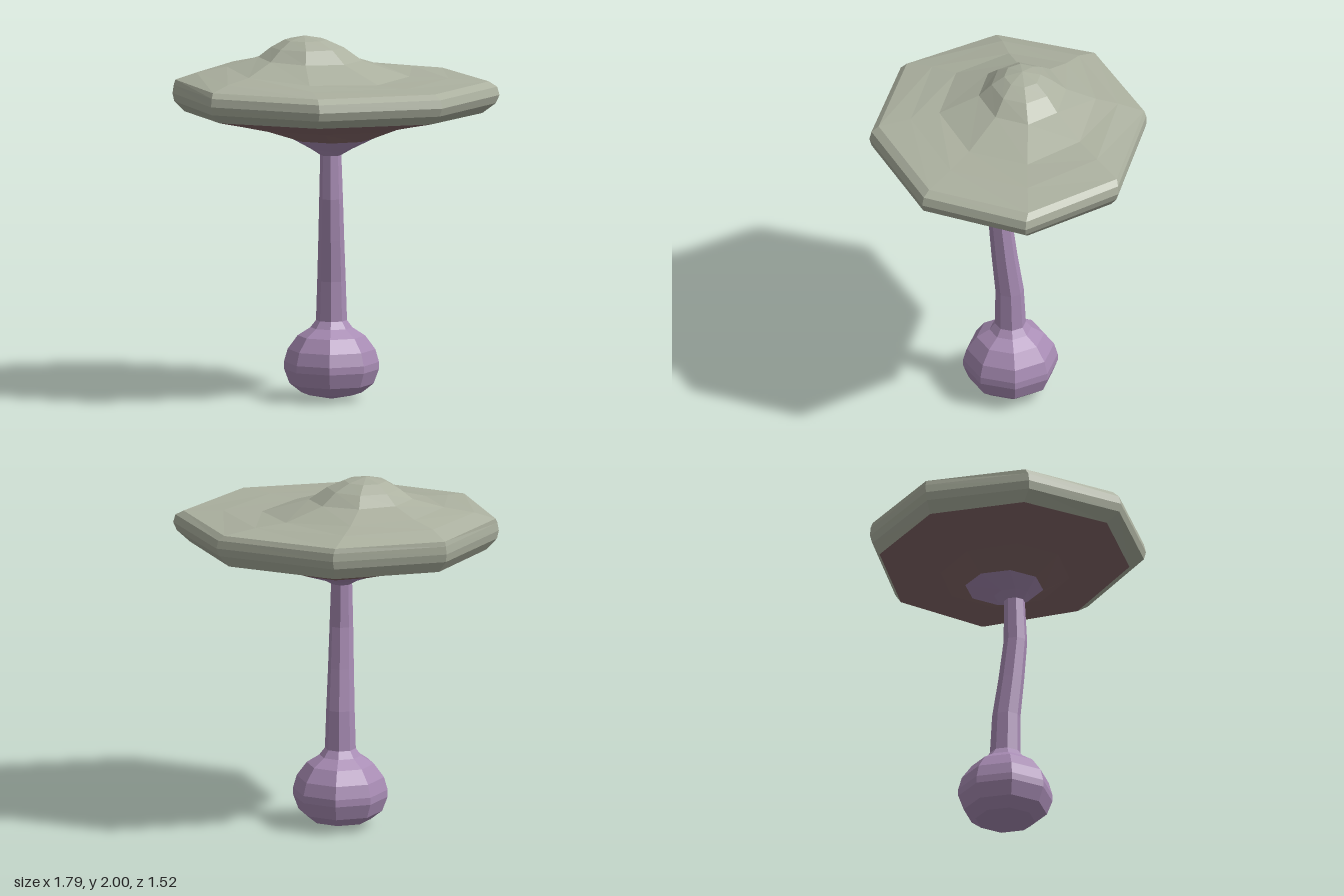
import * as THREE from 'three';

const SIDES = 8;

// Skin a stack of eight-sided rings listed bottom to top.
// Ring: [y, centreX, centreZ, radiusX, radiusZ, rise per x, rise per z, x skew of front and back]
function loft(name, color, rings) {
  const positions = [], index = [];
  for (const [y, cx, cz, rx, rz = rx, tiltX = 0, tiltZ = 0, skew = 0] of rings) {
    for (let j = 0; j < SIDES; j++) {
      const a = (j / SIDES) * Math.PI * 2;
      const dx = rx * Math.cos(a), dz = rz * Math.sin(a);
      positions.push(cx + dx + skew * Math.sin(a) ** 2, y + dx * tiltX + dz * tiltZ, cz + dz);
    }
  }
  for (let i = 0; i < rings.length - 1; i++) {
    for (let j = 0; j < SIDES; j++) {
      const k = (j + 1) % SIDES;
      const a = i * SIDES + j, b = i * SIDES + k;
      const c = a + SIDES, d = b + SIDES;
      if (rings[i][3] > 0) index.push(a, d, b);
      if (rings[i + 1][3] > 0) index.push(a, c, d);
    }
  }
  const geometry = new THREE.BufferGeometry();
  geometry.setAttribute('position', new THREE.Float32BufferAttribute(positions, 3));
  geometry.setIndex(index);
  geometry.computeVertexNormals();
  const mesh = new THREE.Mesh(geometry, new THREE.MeshStandardMaterial({ color, flatShading: true }));
  mesh.name = name;
  return mesh;
}

export function createModel() {
  const group = new THREE.Group();
  group.name = 'mushroom';
  const purple = 0xa88cb4, green = 0xabb09f, brown = 0x86696a;

  // Round bulb at the foot
  group.add(loft('bulb', purple, [
    [0.005, -0.025, -0.01, 0],
    [0.04, -0.025, -0.01, 0.165],
    [0.09, -0.025, -0.01, 0.23],
    [0.17, -0.025, -0.01, 0.26],
    [0.21, -0.025, -0.01, 0.26],
    [0.28, -0.025, -0.01, 0.24],
    [0.355, -0.025, -0.01, 0.185],
    [0.4, -0.025, -0.01, 0.115],
    [0.44, -0.025, -0.01, 0.085],
  ]));

  // Bent, tapering stem
  group.add(loft('stem', purple, [
    [0.44, -0.025, -0.01, 0.085],
    [0.66, -0.025, -0.005, 0.078],
    [0.89, -0.025, 0.023, 0.071],
    [1.12, -0.025, 0.046, 0.065],
    [1.36, -0.027, 0.04, 0.058],
  ]));

  // Flare where the stem meets the cap
  group.add(loft('stemFlare', purple, [
    [1.36, -0.027, 0.04, 0.058],
    [1.39, -0.025, 0.03, 0.11, 0.1],
    [1.445, -0.02, -0.015, 0.23, 0.215],
  ]));

  // Shallow cone under the cap
  group.add(loft('capUnderside', brown, [
    [1.445, -0.02, -0.015, 0.23, 0.215],
    [1.505, -0.05, -0.015, 0.42, 0.355, 0, 0.02],
    [1.555, -0.03, -0.02, 0.66, 0.56, 0, 0.015, -0.03],
    [1.587, -0.015, -0.02, 0.815, 0.69, 0, 0.01, -0.05],
  ]));

  // Rounded rim and off-centre domed top
  group.add(loft('cap', green, [
    [1.587, -0.015, -0.02, 0.815, 0.69, 0, 0.01, -0.05],
    [1.645, -0.005, 0, 0.88, 0.75, 0, 0, -0.06],
    [1.69, 0, 0, 0.895, 0.762, 0, 0, -0.06],
    [1.735, -0.003, -0.005, 0.885, 0.755, 0, 0, -0.06],
    [1.762, -0.022, -0.02, 0.858, 0.73, 0, 0, -0.05],
    [1.787, -0.075, -0.04, 0.69, 0.57, -0.018, -0.02, -0.03],
    [1.805, -0.1, -0.06, 0.5, 0.43, -0.05, -0.04, -0.03],
    [1.872, -0.145, -0.09, 0.285, 0.24, -0.03, -0.02, -0.015],
    [1.935, -0.16, -0.09, 0.2, 0.17],
    [1.977, -0.17, -0.09, 0.115, 0.1],
    [2, -0.175, -0.09, 0],
  ]));

  return group;
}
